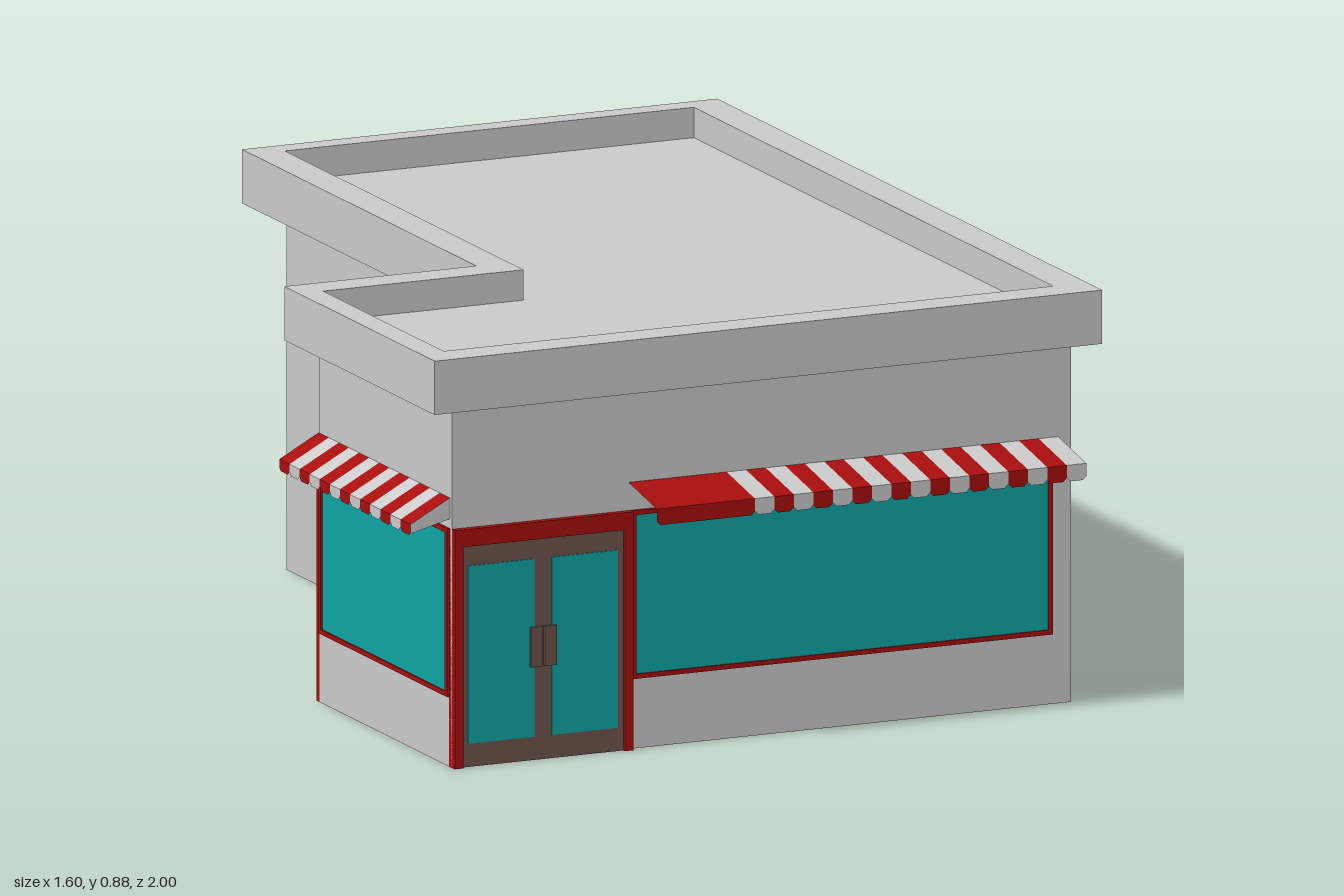
import * as THREE from 'three';

const mat = (color) => new THREE.MeshStandardMaterial({ color, side: THREE.DoubleSide });
const GREY = mat(0xcccccc), RED = mat(0xaa0e0e), GLASS = mat(0x0ea5a5), BROWN = mat(0x6e554b);
const WALL_TOP = 0.77;

function mesh(parent, name, geometry, material) {
  const m = new THREE.Mesh(geometry, material);
  m.name = name;
  parent.add(m);
  return m;
}

// Box given by its extents, centred on local z = 0
function slab(parent, name, u0, u1, y0, y1, depth, material) {
  const m = mesh(parent, name, new THREE.BoxGeometry(u1 - u0, y1 - y0, depth), material);
  m.position.set((u0 + u1) / 2, (y0 + y1) / 2, 0);
  return m;
}

function polygon(points) {
  return new THREE.Shape(points.map(([x, y]) => new THREE.Vector2(x, y)));
}

// Wall plane in its own frame: u runs along the wall, +z points outward
function wall(parent, name, angle, distance, u0, u1) {
  const side = new THREE.Group();
  side.name = name + 'Side';
  side.rotation.y = angle;
  side.position.set(Math.sin(angle) * distance, 0, Math.cos(angle) * distance);
  parent.add(side);
  const plane = mesh(side, name, new THREE.PlaneGeometry(u1 - u0, WALL_TOP), GREY);
  plane.position.set((u0 + u1) / 2, WALL_TOP / 2, 0);
  return side;
}

function frame(parent, u0, u1, y0, y1, t, depth, withSill) {
  slab(parent, 'frameSide', u0, u0 + t, y0, y1, depth, RED);
  slab(parent, 'frameSide', u1 - t, u1, y0, y1, depth, RED);
  slab(parent, 'frameTop', u0 + t, u1 - t, y1 - (withSill ? t : 0.037), y1, depth, RED);
  if (withSill) slab(parent, 'frameSill', u0 + t, u1 - t, y0, y0 + t, depth, RED);
}

function windowUnit(parent, u0, u1) {
  const g = new THREE.Group();
  g.name = 'window';
  parent.add(g);
  frame(g, u0, u1, 0.15, 0.51, 0.01, 0.014, true);
  slab(g, 'windowGlass', u0 + 0.01, u1 - 0.01, 0.16, 0.5, 0.006, GLASS);
}

// Double door with two glazed leaves and a pair of handles
function doubleDoor(parent, u0, u1) {
  const g = new THREE.Group();
  g.name = 'doubleDoor';
  parent.add(g);
  const mid = (u0 + u1) / 2;
  frame(g, u0, u1, 0, 0.51, 0.02, 0.03, false);
  slab(g, 'doorLeaves', u0 + 0.02, u1 - 0.02, 0, 0.473, 0.014, BROWN);
  for (const s of [-1, 1]) {
    const a = mid + s * 0.02, b = mid + s * 0.172;
    slab(g, 'doorGlass', Math.min(a, b), Math.max(a, b), 0.05, 0.43, 0.018, GLASS);
    slab(g, 'doorHandle', mid + s * 0.016 - 0.014, mid + s * 0.016 + 0.014, 0.2, 0.285, 0.028, BROWN);
  }
}

// Striped awning: sloping strips, each with a hanging flap, and optional cheeks
function awning(parent, edges, firstRed, top, lip, bottom, reach, cheek) {
  const g = new THREE.Group();
  g.name = 'awning';
  parent.add(g);
  const slope = Math.hypot(reach, top - lip), tilt = Math.atan2(top - lip, reach);
  for (let i = 0; i < edges.length - 1; i++) {
    const a = edges[i], b = edges[i + 1];
    const material = (i % 2 === 0) === firstRed ? RED : GREY;
    const strip = mesh(g, 'awningStrip', new THREE.PlaneGeometry(b - a, slope), material);
    strip.rotation.x = -Math.PI / 2 + tilt;
    strip.position.set((a + b) / 2, (top + lip) / 2, reach / 2);
    const c = 0.008;
    const flap = polygon([[a, lip], [a, bottom + c], [a + c, bottom], [b - c, bottom], [b, bottom + c], [b, lip]]);
    mesh(g, 'awningFlap', new THREE.ShapeGeometry(flap), material).position.z = reach;
  }
  if (!cheek) return;
  for (const u of [edges[0], edges[edges.length - 1]]) {
    const shape = polygon([[0, top], [0, top - 0.045], [reach, lip - 0.02], [reach, lip]]);
    const m = mesh(g, 'awningCheek', new THREE.ShapeGeometry(shape), cheek);
    m.rotation.y = -Math.PI / 2;
    m.position.x = u;
  }
}

const stripes = (u0, u1, n) => Array.from({ length: n + 1 }, (_, i) => u0 + ((u1 - u0) * i) / n);

// L-shaped plan in (x, -z), ready to be extruded upward
const plan = (x0, x1, back, front, nx, nz) =>
  polygon([[x0, -front], [x1, -front], [x1, -back], [nx, -back], [nx, -nz], [x0, -nz]]);

export function createModel() {
  const shop = new THREE.Group();
  shop.name = 'shop';

  // Walls of the L-shaped plan
  const front = wall(shop, 'frontWall', 0, 0.86, -0.71, 0.71);
  const left = wall(shop, 'leftWall', Math.PI / 2, 0.71, -0.86, 0.91);
  wall(shop, 'backWall', Math.PI, 0.91, -0.71, 0.27);
  wall(shop, 'innerSideWall', -Math.PI / 2, 0.27, -0.91, 0.205);
  const innerBack = wall(shop, 'innerBackWall', Math.PI, -0.205, 0.27, 0.71);
  const right = wall(shop, 'rightWall', -Math.PI / 2, 0.71, 0.205, 0.86);

  // Doors and windows
  doubleDoor(front, -0.71, -0.3);
  doubleDoor(innerBack, 0.285, 0.71);
  windowUnit(front, -0.3, 0.665);
  windowUnit(left, -0.15, 0.155);
  windowUnit(left, 0.51, 0.865);
  windowUnit(right, 0.215, 0.85);

  // Awnings
  awning(front, [-0.305, ...stripes(-0.08, 0.68, 17)], true, 0.57, 0.543, 0.508, 0.14, null);
  awning(left, stripes(-0.155, 0.175, 5), true, 0.595, 0.537, 0.507, 0.085, RED);
  awning(left, stripes(0.49, 0.885, 5), true, 0.595, 0.537, 0.507, 0.085, RED);
  awning(right, stripes(0.2, 0.85, 13), true, 0.575, 0.527, 0.503, 0.09, GREY);

  // Overhanging parapet ring and the sunken roof inside it
  const ring = plan(-0.77, 0.76, -1, 0.905, -0.33, 0.16);
  const inner = plan(-0.715, 0.683, -0.95, 0.83, -0.255, 0.233);
  ring.holes.push(inner);
  const parapet = mesh(shop, 'parapet',
    new THREE.ExtrudeGeometry(ring, { depth: 0.115, bevelEnabled: false }), GREY);
  parapet.rotation.x = -Math.PI / 2;
  parapet.position.y = WALL_TOP;
  const roof = mesh(shop, 'roof', new THREE.ShapeGeometry(inner), GREY);
  roof.rotation.x = -Math.PI / 2;
  roof.position.y = 0.82;

  return shop;
}
